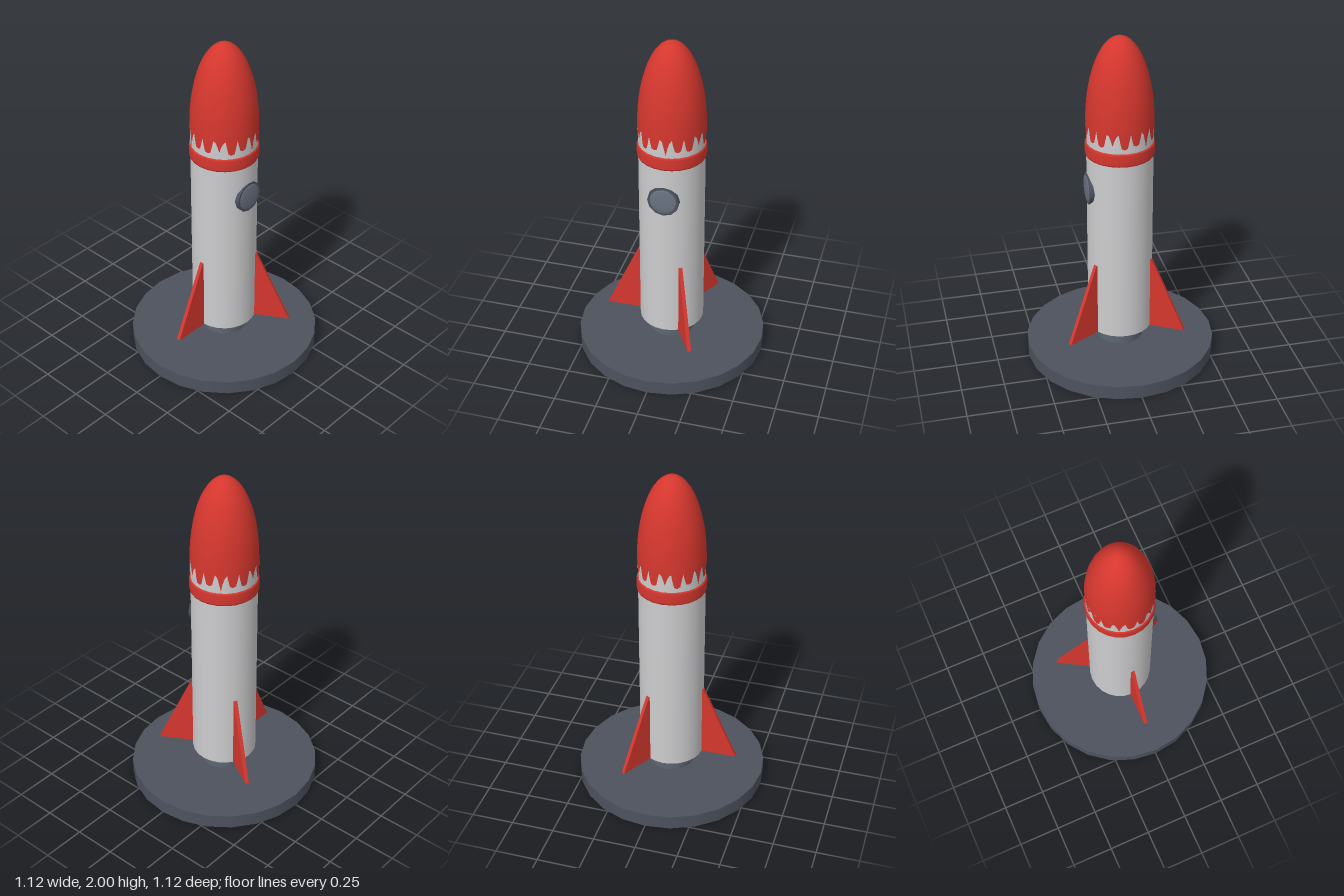
import * as THREE from 'three';

const SIDES = 24;
const material = (name, color, side = THREE.FrontSide) => {
  const m = new THREE.MeshStandardMaterial({ color, side });
  m.name = name;
  return m;
};

export function createModel() {
  const red = material('red paint', 0xd6372e, THREE.DoubleSide);
  const white = material('white hull', 0xcdcdcf);
  const slate = material('dark slate', 0x4d525e);
  const steel = material('blue grey metal', 0x687280);

  const model = new THREE.Group();
  model.name = 'rocket';
  const add = (name, geometry, mat, parent = model) => {
    const mesh = new THREE.Mesh(geometry, mat);
    mesh.name = name;
    parent.add(mesh);
    return mesh;
  };
  const cylinder = (top, bottom, y0, y1) =>
    new THREE.CylinderGeometry(top, bottom, y1 - y0, SIDES).translate(0, (y0 + y1) / 2, 0);
  const lathe = (points) =>
    new THREE.LatheGeometry(points.map(([r, y]) => new THREE.Vector2(r, y)), SIDES);

  // Launch pad, nozzle and hull
  add('launchPad', cylinder(0.56, 0.56, 0, 0.085), slate);
  add('nozzle', cylinder(0.16, 0.138, 0.095, 0.185), steel);
  add('hull', cylinder(0.19, 0.19, 0.18, 1.51), white);

  // Raised collar with softened edges
  add('collar', lathe([[0.188, 1.3], [0.195, 1.302], [0.198, 1.312], [0.198, 1.368],
    [0.195, 1.378], [0.188, 1.38]]), red);

  // Nose cone: half an ellipse
  const nose = [];
  for (let i = 0; i <= 14; i++) {
    const a = (i / 14) * Math.PI / 2;
    nose.push([0.193 * Math.cos(a), 1.5 + 0.5 * Math.sin(a)]);
  }
  add('noseCone', lathe(nose), red);

  // Paint drips: pointed and blunt teeth hanging around the hull
  const pointed = [[0, 0], [0.2, 0.15], [0.35, 0.55], [0.5, 1], [0.65, 0.5], [0.8, 0.2], [1, 0]];
  const blunt = [[0, 0], [0.12, 0.5], [0.25, 0.92], [0.5, 1], [0.75, 0.9], [0.88, 0.45], [1, 0]];
  const lengths = [0.1, 0.08, 0.085, 0.07, 0.09, 0.075];
  const teeth = 18;
  const drip = [], normals = [], index = [];
  for (let t = 0; t < teeth; t++) {
    const shape = t % 3 === 0 ? pointed : blunt;
    const length = lengths[t % lengths.length];
    shape.forEach(([u, depth], i) => {
      const a = ((t + u - 0.25) / teeth) * Math.PI * 2;
      const s = Math.sin(a), c = Math.cos(a);
      const n = drip.length / 3;
      drip.push(0.1935 * s, 1.496 - depth * length, 0.1935 * c, 0.1935 * s, 1.505, 0.1935 * c);
      normals.push(s, 0, c, s, 0, c);
      if (i < shape.length - 1) index.push(n, n + 2, n + 3, n, n + 3, n + 1);
    });
  }
  const drips = new THREE.BufferGeometry();
  drips.setAttribute('position', new THREE.Float32BufferAttribute(drip, 3));
  drips.setAttribute('normal', new THREE.Float32BufferAttribute(normals, 3));
  drips.setIndex(index);
  add('paintDrips', drips, red);

  // Porthole: faceted rim around a slightly domed pane
  const porthole = new THREE.Group();
  porthole.name = 'porthole';
  porthole.position.set(0, 1.095, 0);
  model.add(porthole);
  const disc = (r, z0, z1) =>
    new THREE.CylinderGeometry(r, r, z1 - z0, 12).rotateX(Math.PI / 2).translate(0, 0, (z0 + z1) / 2);
  add('portholeRim', disc(0.092, 0.165, 0.193), slate, porthole);
  add('portholeGlass', new THREE.SphereGeometry(0.078, 16, 6, 0, Math.PI * 2, 0, Math.PI / 2)
    .rotateX(Math.PI / 2).scale(1, 1, 0.1).translate(0, 0, 0.1935), steel, porthole);

  // Three swept fins, one pointing to -x
  const thickness = 0.022;
  const outline = new THREE.Shape([[0.17, 0.18], [0.4, 0.18], [0.195, 0.635], [0.17, 0.635]]
    .map(([x, y]) => new THREE.Vector2(x, y)));
  const finGeometry = new THREE.ExtrudeGeometry(outline, { depth: thickness, bevelEnabled: false })
    .translate(0, 0, -thickness / 2);
  for (let i = 0; i < 3; i++) {
    add('fin' + (i + 1), finGeometry, red).rotation.y = Math.PI + (i * Math.PI * 2) / 3;
  }
  return model;
}
